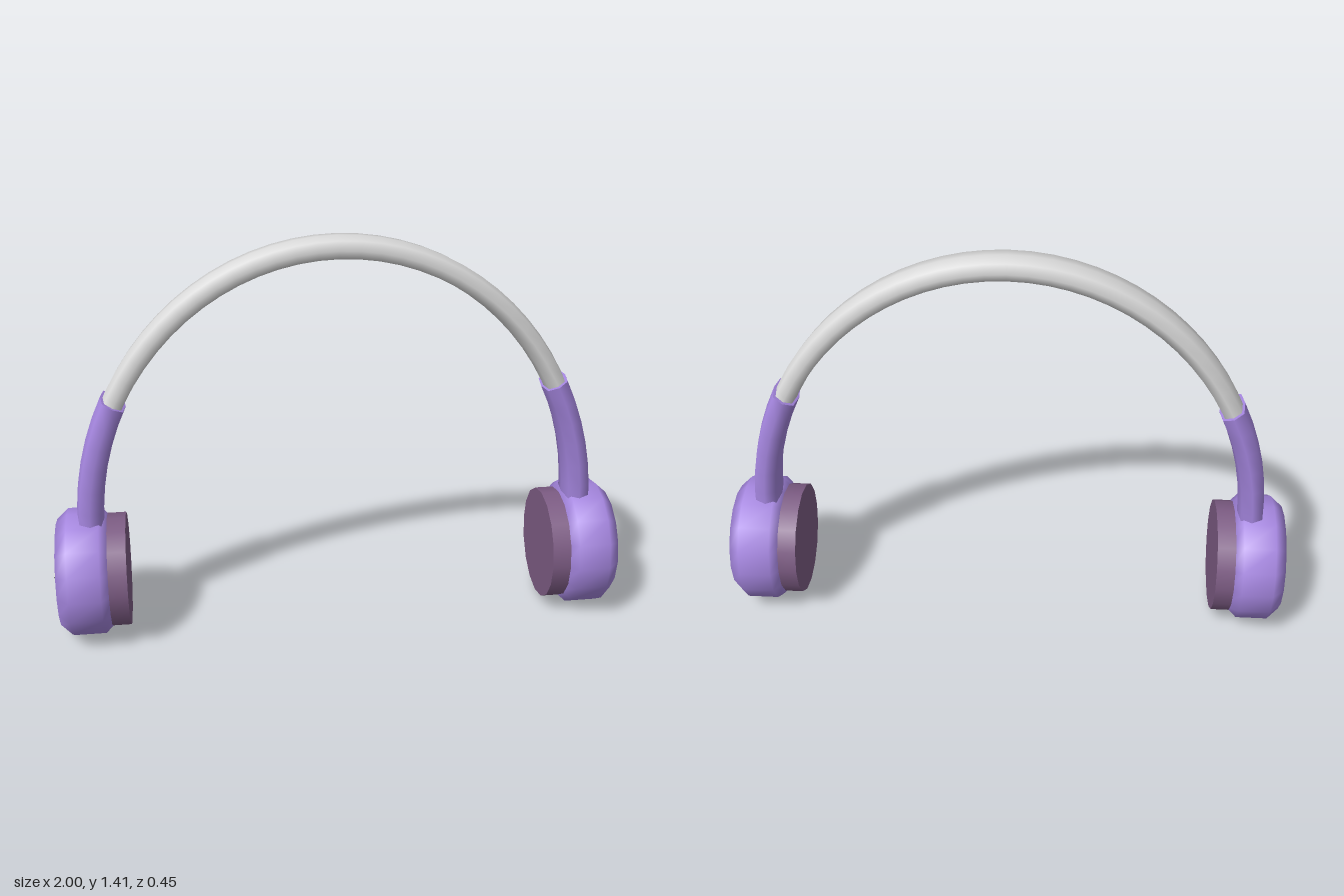
import * as THREE from 'three';

// Headband curve: half ellipse in the xy plane
const ARC = { a: 0.863, b: 0.972, y: 0.4 };
const CUP_Y = 0.228;

// Sweeps a flattened eight-sided section along the headband curve, with end caps
function sweepArc(t0, t1, steps, halfWidth, halfThick) {
  const section = [[1, 0], [0.78, 0.8], [0, 1], [-0.78, 0.8], [-1, 0], [-0.78, -0.8], [0, -1], [0.78, -0.8]];
  const n = section.length;
  const pos = [], index = [];
  const addRing = (t) => {
    const c = Math.cos(t), s = Math.sin(t);
    const normal = new THREE.Vector2(c / ARC.a, s / ARC.b).normalize();
    for (const [w, u] of section) {
      const k = u * halfThick;
      pos.push(ARC.a * c + normal.x * k, ARC.y + ARC.b * s + normal.y * k, w * halfWidth);
    }
  };
  for (let i = 0; i <= steps; i++) addRing(t0 + ((t1 - t0) * i) / steps);
  for (let i = 0; i < steps; i++) {
    for (let j = 0; j < n; j++) {
      const a = i * n + j, b = i * n + ((j + 1) % n);
      index.push(a, b, a + n, b, b + n, a + n);
    }
  }
  // caps use their own vertices so the rims stay sharp
  const first = pos.length / 3;
  addRing(t0);
  const last = pos.length / 3;
  addRing(t1);
  for (let j = 1; j < n - 1; j++) {
    index.push(first, first + j + 1, first + j);
    index.push(last, last + j, last + j + 1);
  }
  const geo = new THREE.BufferGeometry();
  geo.setAttribute('position', new THREE.Float32BufferAttribute(pos, 3));
  geo.setIndex(index);
  geo.computeVertexNormals();
  return geo;
}

function starGeometry(outer, inner, depth) {
  const shape = new THREE.Shape();
  for (let i = 0; i < 10; i++) {
    const r = i % 2 ? inner : outer;
    const t = Math.PI / 2 + (i * Math.PI) / 5;
    if (i) shape.lineTo(r * Math.cos(t), r * Math.sin(t));
    else shape.moveTo(r * Math.cos(t), r * Math.sin(t));
  }
  return new THREE.ExtrudeGeometry(shape, { depth, bevelEnabled: false });
}

export function createModel() {
  const silver = new THREE.MeshStandardMaterial({ color: 0xdadada });
  const purple = new THREE.MeshStandardMaterial({ color: 0xa586df });
  const plum = new THREE.MeshStandardMaterial({ color: 0x7d5c84 });
  silver.name = 'silver';
  purple.name = 'purple';
  plum.name = 'plum';

  const model = new THREE.Group();
  model.name = 'headphones';
  const add = (parent, name, geo, mat) => {
    const mesh = new THREE.Mesh(geo, mat);
    mesh.name = name;
    parent.add(mesh);
  };

  // Headband and the two sleeves that hold its ends
  const end = 0.5;
  add(model, 'headband', sweepArc(end - 0.06, Math.PI - end + 0.06, 28, 0.066, 0.0375), silver);
  add(model, 'leftSleeve', sweepArc(0, end, 6, 0.079, 0.046), purple);
  add(model, 'rightSleeve', sweepArc(Math.PI - end, Math.PI, 6, 0.079, 0.046), purple);

  // Ear cup shell: chamfered disc lying along x
  const profile = [[0, 0.797], [0.188, 0.797], [0.225, 0.835], [0.225, 0.945], [0.188, 0.985], [0, 0.985]];
  const shell = new THREE.LatheGeometry(profile.map(([r, x]) => new THREE.Vector2(r, x)), 16);
  shell.rotateZ(-Math.PI / 2);

  const cushion = new THREE.CylinderGeometry(0.2, 0.2, 0.07, 16);
  cushion.rotateZ(-Math.PI / 2).translate(0.78, 0, 0);

  const star = starGeometry(0.079, 0.034, 0.02);
  star.rotateY(Math.PI / 2).translate(0.98, 0, 0);

  for (const side of ['left', 'right']) {
    const cup = new THREE.Group();
    cup.name = side + 'EarCup';
    cup.position.y = CUP_Y;
    if (side === 'right') cup.rotation.y = Math.PI;
    add(cup, 'shell', shell, purple);
    add(cup, 'cushion', cushion, plum);
    add(cup, 'star', star, silver);
    model.add(cup);
  }
  return model;
}
